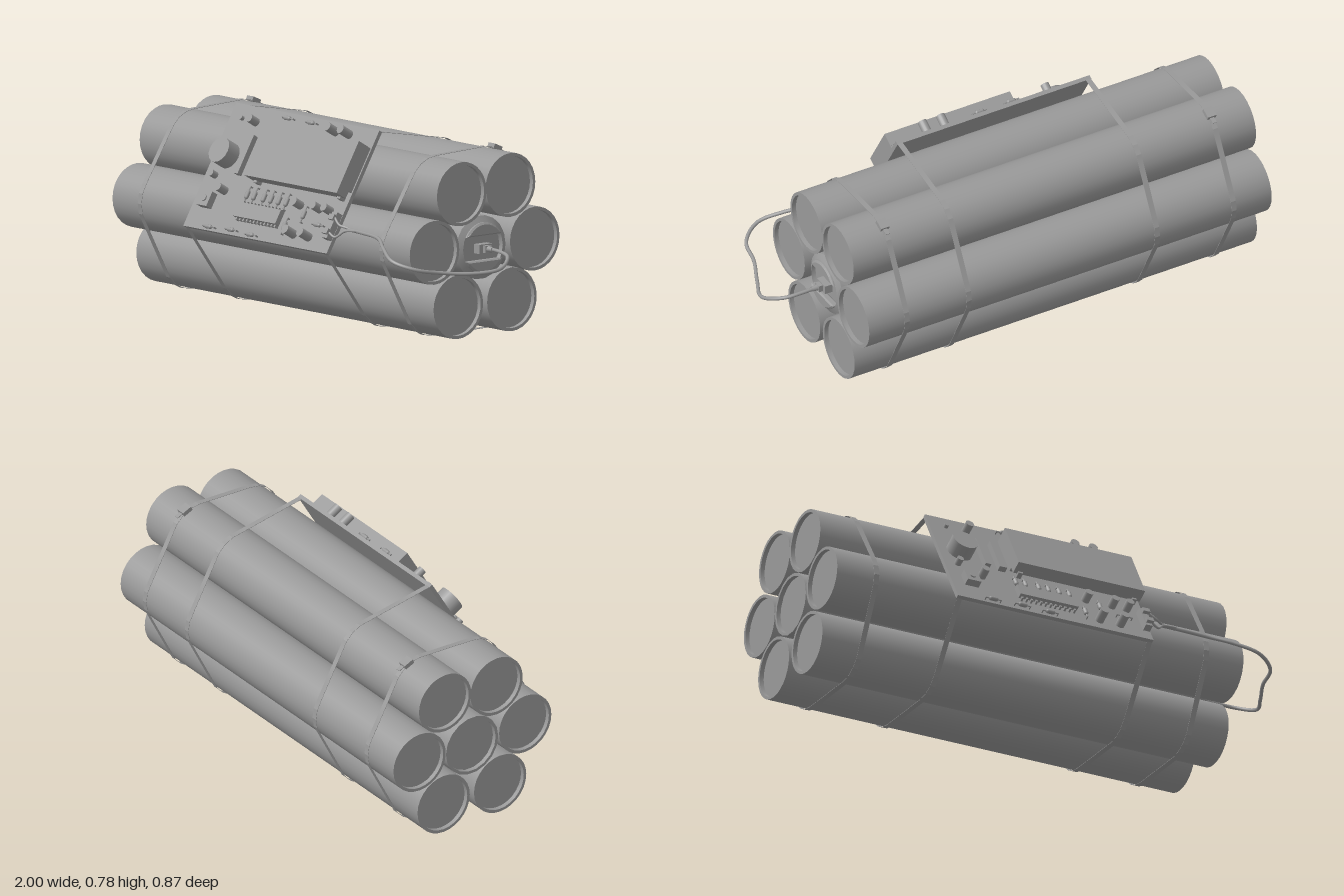
import * as THREE from 'three';
import { toCreasedNormals } from 'three/addons/utils/BufferGeometryUtils.js';

const mat = new THREE.MeshStandardMaterial({ color: 0x999999 });
const TUBE_R = 0.125;
const X0 = -1, X1 = 0.785;

// Tube centres as [z, y]; the core sits in the middle
const RING = [[0.066, 0.572], [-0.18, 0.582], [-0.302, 0.359], [-0.187, 0.134], [0.083, 0.132], [0.203, 0.357]];
const CORE = [-0.051, 0.349];

function add(parent, name, geo, x = 0, y = 0, z = 0) {
  const m = new THREE.Mesh(geo, mat);
  m.name = name;
  m.position.set(x, y, z);
  parent.add(m);
  return m;
}
const box = (p, name, w, h, d, x, y, z) => add(p, name, new THREE.BoxGeometry(w, h, d), x, y, z);

// Lathe profile of [radius, x] pairs turned to lie along x
function latheX(profile, sides = 28) {
  const geo = new THREE.LatheGeometry(profile.map(([r, h]) => new THREE.Vector2(r, h)), sides);
  return toCreasedNormals(geo.rotateZ(-Math.PI / 2), 0.6);
}

function wire(parent, name, pts, r) {
  const curve = new THREE.CatmullRomCurve3(pts.map(p => new THREE.Vector3(...p)));
  return add(parent, name, new THREE.TubeGeometry(curve, pts.length * 6, r, 8));
}

// Convex outline of a set of Vector2
function hull(points) {
  const p = [...points].sort((a, b) => a.x - b.x || a.y - b.y);
  const half = list => {
    const out = [];
    for (const q of list) {
      while (out.length > 1) {
        const a = out[out.length - 2], b = out[out.length - 1];
        if ((b.x - a.x) * (q.y - a.y) - (b.y - a.y) * (q.x - a.x) > 1e-9) break;
        out.pop();
      }
      out.push(q);
    }
    return out.slice(0, -1);
  };
  return [...half(p), ...half([...p].reverse())];
}

// Thin band stretched around the bundle, optionally over extra [z, y] points
function strap(parent, name, x, width, extra = []) {
  const outline = (r, scale) => {
    const pts = extra.map(([z, y]) => new THREE.Vector2(-z * scale, y * scale));
    for (const [z, y] of RING)
      for (let i = 0; i < 20; i++) {
        const a = i / 20 * Math.PI * 2;
        pts.push(new THREE.Vector2(-z + r * Math.cos(a), y + r * Math.sin(a)));
      }
    return hull(pts);
  };
  const shape = new THREE.Shape(outline(0.1315, 1));
  shape.holes.push(new THREE.Path(outline(0.13, 0.998)));
  const geo = new THREE.ExtrudeGeometry(shape, { depth: width, bevelEnabled: false });
  add(parent, name, geo.rotateY(Math.PI / 2), x - width / 2);
}

// Components sit on the board: u is up the board, n is out of it
function can(parent, name, x, u, r, h) {
  const geo = new THREE.CylinderGeometry(r, r, h, 16).rotateX(Math.PI / 2);
  add(parent, name, geo, x, u, 0.008 + h / 2);
}
function resistor(parent, x, u, vertical) {
  const g = new THREE.Group();
  g.name = 'resistor';
  g.position.set(x, u, 0.02);
  if (!vertical) g.rotation.z = Math.PI / 2;
  add(g, 'resistorBody', new THREE.CapsuleGeometry(0.009, 0.022, 3, 8));
  add(g, 'resistorLead', new THREE.CylinderGeometry(0.003, 0.003, 0.07, 6));
  for (const s of [-1, 1]) box(g, 'resistorLeg', 0.005, 0.005, 0.016, 0, s * 0.033, -0.006);
  parent.add(g);
}

function circuitBoard() {
  const b = new THREE.Group();
  b.name = 'circuitBoard';
  b.position.set(-0.073, 0.542, 0.248);
  b.rotation.x = -0.532;
  const c = new THREE.Group(); // component space with true x
  c.name = 'components';
  c.position.x = 0.075;
  b.add(c);
  box(b, 'boardPlate', 0.86, 0.526, 0.016, 0, 0, 0);

  // Large raised module on a thin carrier
  box(c, 'moduleCase', 0.556, 0.222, 0.053, 0.071, 0.075, 0.05);
  box(c, 'moduleCarrier', 0.556, 0.19, 0.016, 0.071, 0.09, 0.016);
  for (const x of [-0.18, 0.32]) box(c, 'moduleFoot', 0.02, 0.03, 0.03, x, -0.03, 0.02);

  can(c, 'largeCapacitor', -0.415, 0.047, 0.053, 0.062);
  box(c, 'slimRelay', 0.024, 0.165, 0.025, -0.314, 0.06, 0.018);
  box(c, 'slimRelay', 0.032, 0.165, 0.025, -0.248, 0.06, 0.018);

  // Main chip with two rows of pins
  box(c, 'chip', 0.255, 0.06, 0.022, -0.095, -0.163, 0.025);
  for (let i = 0; i < 12; i++)
    for (const s of [-1, 1])
      box(c, 'chipPin', 0.008, 0.012, 0.016, -0.21 + i * 0.021, -0.163 + s * 0.034, 0.016);

  for (const x of [-0.21, -0.168, -0.11, -0.067, -0.02, 0.025]) resistor(c, x, -0.094, true);
  for (const [x, u] of [[-0.35, -0.25], [-0.22, -0.245], [-0.1, -0.25], [-0.17, 0.238], [-0.03, 0.238], [0.25, -0.16]])
    resistor(c, x, u, false);
  for (const x of [0.07, 0.15]) resistor(c, x, x < 0.1 ? -0.19 : -0.13, true);

  // Small upright cans: x, u, radius, height
  for (const [x, u, r, h] of [
    [0.12, 0.223, 0.018, 0.055], [0.2, 0.223, 0.018, 0.055],
    [0.13, -0.213, 0.018, 0.055], [0.22, -0.213, 0.018, 0.055],
    [0.1, -0.094, 0.017, 0.045], [0.215, -0.094, 0.017, 0.045], [0.28, -0.094, 0.017, 0.045],
    [-0.345, 0.2, 0.017, 0.045], [-0.355, -0.094, 0.017, 0.045],
    [-0.43, 0.205, 0.009, 0.015], [-0.445, -0.04, 0.014, 0.03],
  ]) can(c, 'smallCapacitor', x, u, r, h);

  box(c, 'trimmerBody', 0.06, 0.062, 0.03, -0.42, -0.145, 0.022);
  can(c, 'trimmerDial', -0.42, -0.145, 0.013, 0.034);

  // Wire connector at the edge
  box(c, 'connectorBase', 0.03, 0.11, 0.03, 0.338, -0.155, 0.022);
  for (const s of [-1, 1]) box(c, 'connectorTab', 0.03, 0.022, 0.022, 0.342, -0.155 + s * 0.03, 0.04);
  return b;
}

export function createModel() {
  const root = new THREE.Group();

  // Six outer tubes with recessed ends
  const lip = 0.113, d = 0.018;
  const leftEnd = [[0, X0 + d], [lip, X0 + d], [lip, X0], [TUBE_R, X0]];
  const tubeGeo = latheX([...leftEnd, [TUBE_R, X1], [lip, X1], [lip, X1 - d], [0, X1 - d]]);
  for (const [z, y] of RING) add(root, 'outerTube', tubeGeo, 0, y, z);

  // Core tube with a chamfered end
  const floor = X1 - 0.03;
  const coreGeo = latheX([...leftEnd, [TUBE_R, X1 - 0.025], [0.1, X1 - 0.012], [0.098, floor], [0, floor]], 18);
  add(root, 'coreTube', coreGeo, 0, cyOf(CORE), CORE[0]);

  // Two bevelled cheeks leave a slot across the core end for the plug
  const a = Math.asin(0.048 / 0.1);
  for (const turn of [0, Math.PI]) {
    const cheek = new THREE.Shape().absarc(0, 0, 0.1, a + turn, Math.PI - a + turn, false);
    const geo = new THREE.ExtrudeGeometry(cheek, {
      depth: 0.018, bevelThickness: 0.006, bevelSize: 0.008, bevelOffset: -0.008, bevelSegments: 1, curveSegments: 5,
    });
    add(root, 'socketCheek', geo.rotateY(Math.PI / 2), floor + 0.006, cyOf(CORE), CORE[0]);
  }
  box(root, 'socketPad', 0.035, 0.036, 0.064, floor + 0.015, 0.346, -0.053);
  box(root, 'wirePlug', 0.04, 0.028, 0.03, X1, 0.346, -0.053);
  add(root, 'wireSleeve', new THREE.CylinderGeometry(0.01, 0.013, 0.03, 10).rotateZ(-Math.PI / 2), X1 + 0.03, 0.347, -0.053);

  // Straps around the bundle, each with a buckle
  for (const x of [-0.83, 0.62]) {
    strap(root, 'bundleStrap', x, 0.022);
    const buckle = box(root, 'buckle', 0.038, 0.018, 0.042, x, 0.704, -0.24);
    const tail = box(root, 'strapTail', 0.018, 0.003, 0.05, x, 0.694, -0.258);
    buckle.rotation.x = tail.rotation.x = -0.42;
  }

  // Straps holding the board
  for (const x of [-0.49, 0.345]) strap(root, 'boardStrap', x, 0.022, [[0.112, 0.766], [0.378, 0.314]]);
  root.add(circuitBoard());

  // Paired leads joining into one cable that loops to the core
  wire(root, 'lead', [[0.355, 0.455, 0.345], [0.39, 0.43, 0.35], [0.42, 0.422, 0.338], [0.48, 0.412, 0.336]], 0.005);
  wire(root, 'lead', [[0.355, 0.4, 0.375], [0.385, 0.385, 0.37], [0.42, 0.41, 0.35], [0.48, 0.418, 0.342]], 0.005);
  wire(root, 'cable', [
    [0.42, 0.417, 0.335], [0.5, 0.415, 0.338], [0.62, 0.407, 0.348], [0.7, 0.383, 0.39], [0.8, 0.346, 0.425],
    [0.88, 0.318, 0.37], [0.902, 0.3, 0.27], [0.95, 0.291, 0.16], [0.991, 0.302, 0.05],
    [0.94, 0.335, -0.035], [0.86, 0.346, -0.053], [0.79, 0.347, -0.053],
  ], 0.0075);
  return root;
}

// Height of a [z, y] centre
function cyOf(centre) {
  return centre[1];
}
